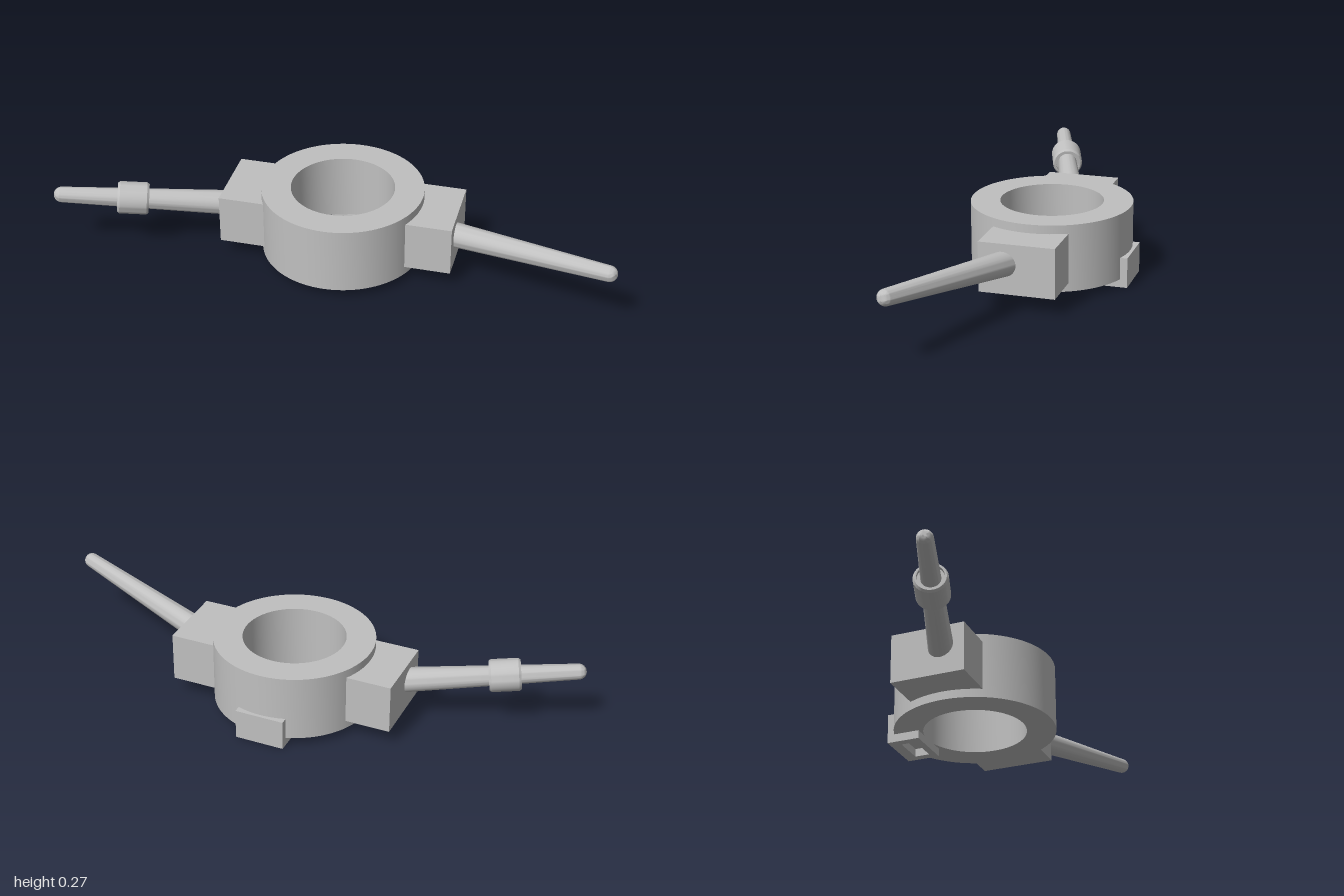
import * as THREE from 'three';
import { toCreasedNormals } from 'three/addons/utils/BufferGeometryUtils.js';

const UP = new THREE.Vector3(0, 1, 0);

// Smooth lathe that keeps profile corners sharp
function lathe(profile, segments) {
  const points = profile.map(([r, y]) => new THREE.Vector2(r, y));
  return toCreasedNormals(new THREE.LatheGeometry(points, segments), 0.6);
}

export function createModel() {
  const model = new THREE.Group();
  model.name = 'ringWithHandles';
  const grey = new THREE.MeshStandardMaterial({ color: 0xc0c0c0 });
  grey.name = 'light grey';

  function add(name, geometry, x, y, z) {
    const mesh = new THREE.Mesh(geometry, grey);
    mesh.name = name;
    mesh.position.set(x, y, z);
    model.add(mesh);
    return mesh;
  }

  const cz = 0.006; // ring centre in z

  // Central ring
  add('ring', lathe([[0.185, 0.03], [0.29, 0.03], [0.29, 0.272], [0.185, 0.272], [0.185, 0.03]], 96), 0, 0, cz);

  for (const side of [1, -1]) {
    const label = side > 0 ? 'left' : 'right';

    // Side block, its inner end sunk into the ring wall
    add(label + 'Block', new THREE.BoxGeometry(0.21, 0.18, 0.271), side * 0.315, 0.151, cz);

    // Tapered handle with a round tip
    const start = new THREE.Vector3(side * 0.39, 0.165, 0.045);
    const tip = new THREE.Vector3(side * 0.972, 0.235, 0.247);
    const axis = tip.clone().sub(start);
    const length = axis.length();
    axis.normalize();
    const profile = [[0, 0], [0.045, 0]];
    for (let i = 0; i <= 8; i++) {
      const a = (i / 8) * Math.PI / 2;
      profile.push([i === 8 ? 0 : 0.028 * Math.cos(a), length + 0.028 * Math.sin(a)]);
    }
    const handle = add(label + 'Handle', lathe(profile, 40), start.x, start.y, start.z);
    handle.quaternion.setFromUnitVectors(UP, axis);

    // Sliding collar on the right handle, with bevelled rims and a bore
    if (side < 0) {
      const p = start.clone().addScaledVector(axis, length * 0.592);
      const h = 0.056;
      const collar = add('collar', lathe([
        [0.03, -h + 0.012], [0.046, -h + 0.012], [0.046, -h], [0.052, -h], [0.058, -h + 0.008],
        [0.058, h - 0.008], [0.052, h], [0.046, h], [0.046, h - 0.012], [0.03, h - 0.012],
      ], 40), p.x, p.y, p.z);
      collar.quaternion.setFromUnitVectors(UP, axis);
    }
  }

  // Rear bracket: upright plate behind the ring
  add('bracketPlate', new THREE.BoxGeometry(0.18, 0.11, 0.027), 0, 0.055, -0.2825);

  // Bracket foot: slotted slab under the ring
  const foot = new THREE.Shape();
  foot.moveTo(-0.09, 0.175).lineTo(0.09, 0.175).lineTo(0.09, 0.27).lineTo(-0.09, 0.27).closePath();
  const slot = new THREE.Path();
  slot.moveTo(-0.06, 0.2).lineTo(-0.06, 0.255).lineTo(0.06, 0.255).lineTo(0.06, 0.2).closePath();
  foot.holes.push(slot);
  const footGeometry = new THREE.ExtrudeGeometry(foot, { depth: 0.03, bevelEnabled: false });
  footGeometry.rotateX(-Math.PI / 2); // shape y becomes -z, depth becomes y
  add('bracketFoot', footGeometry, 0, 0, 0);

  return model;
}
